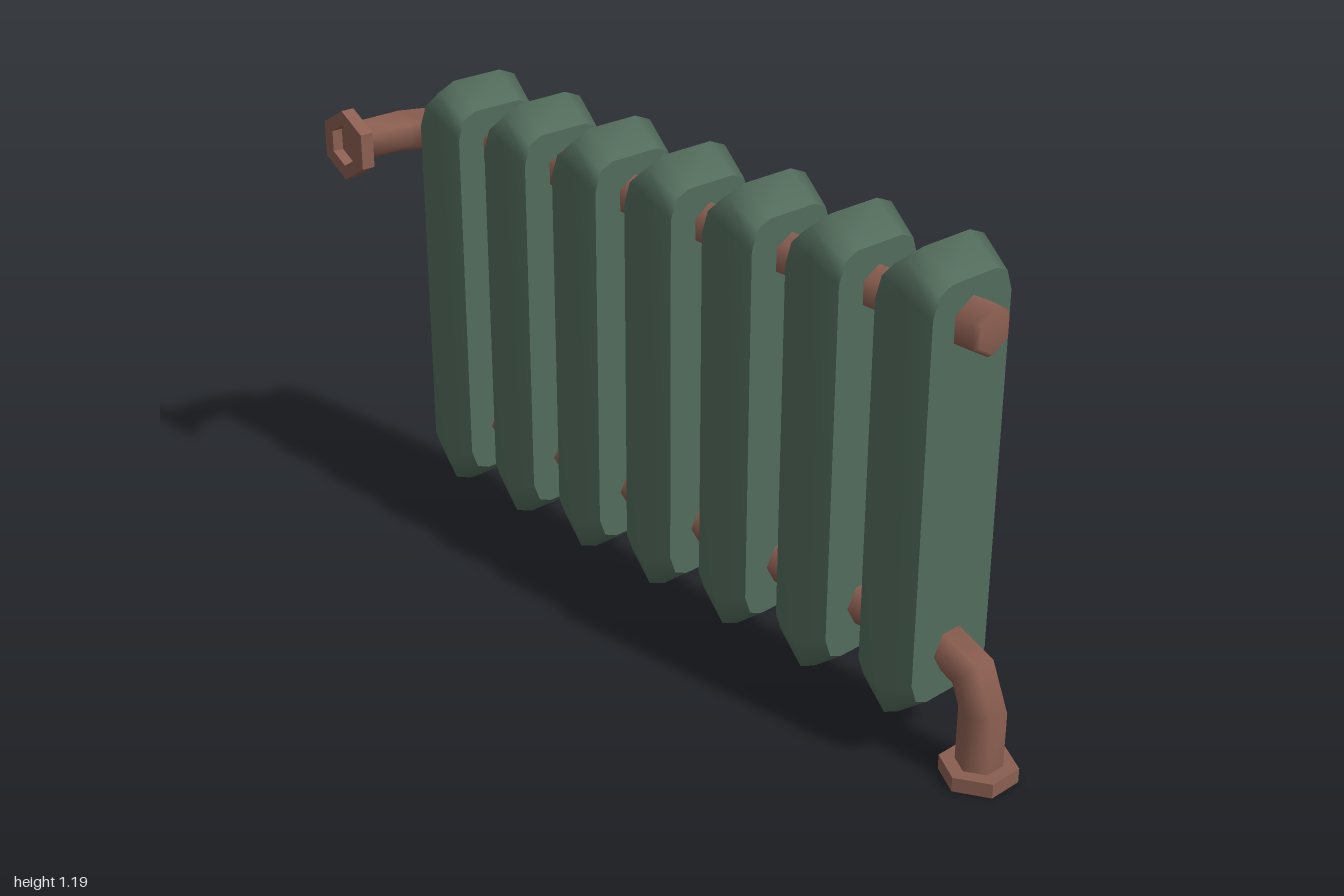
import * as THREE from 'three';

const green = new THREE.MeshStandardMaterial({ color: 0x526b5b });
green.name = 'green enamel';
const copper = new THREE.MeshStandardMaterial({ color: 0x8a5e50 });
copper.name = 'copper brown';

// Skin a stack of equal rings with smooth sides and flat, sharp-edged caps
function skin(rings) {
  const n = rings[0].length;
  const last = rings.length - 1;
  const pos = rings.flat(2);
  const index = [];
  for (let i = 0; i < last; i++) {
    for (let j = 0; j < n; j++) {
      const a = i * n + j, b = i * n + (j + 1) % n;
      index.push(a, b, b + n, a, b + n, a + n);
    }
  }
  for (const end of [0, last]) {
    const start = pos.length / 3;
    pos.push(...rings[end].flat());
    for (let j = 1; j < n - 1; j++) {
      if (end) index.push(start, start + j, start + j + 1);
      else index.push(start, start + j + 1, start + j);
    }
  }
  const g = new THREE.BufferGeometry();
  g.setAttribute('position', new THREE.Float32BufferAttribute(pos, 3));
  g.setIndex(index);
  g.computeVertexNormals();
  return g;
}

// Mirror one quadrant of an outline into a full counter-clockwise ring at depth z
function outline(quadrant, z) {
  const back = [...quadrant].reverse();
  return [
    ...quadrant.map(([x, y]) => [x, y, z]),
    ...back.map(([x, y]) => [-x, y, z]),
    ...quadrant.map(([x, y]) => [-x, -y, z]),
    ...back.map(([x, y]) => [x, -y, z]),
  ];
}

// Hexagonal pipe swept through [z, y, downward angle] stations
function pipeGeometry(stations, r) {
  return skin(stations.map(([z, y, angle]) => {
    const c = Math.cos(angle), s = Math.sin(angle);
    return Array.from({ length: 6 }, (_, k) => {
      const a = Math.PI / 6 + k * Math.PI / 3;
      const n = Math.cos(a) * r;
      return [Math.sin(a) * r, y - n * c, z - n * s];
    });
  }));
}

function hexPoints(r) {
  return Array.from({ length: 6 }, (_, k) =>
    new THREE.Vector2(r * Math.cos(k * Math.PI / 3), r * Math.sin(k * Math.PI / 3)));
}

function named(geometry, material, name) {
  const m = new THREE.Mesh(geometry, material);
  m.name = name;
  return m;
}

// Pipe with elbow, hollow hex flange at one end and a plug at the other
function pipeAssembly(name) {
  const group = new THREE.Group();
  group.name = name;

  const h = Math.PI / 2;
  const pipe = pipeGeometry([
    [-0.8, 0, 0], [0.81, 0, 0], [0.891, -0.034, h / 2], [0.925, -0.115, h], [0.925, -0.255, h],
  ], 0.0525);
  group.add(named(pipe, copper, 'pipe'));

  const ring = new THREE.Shape(hexPoints(0.0875));
  ring.holes.push(new THREE.Path(hexPoints(0.052)));
  const flangeGeo = new THREE.ExtrudeGeometry(ring, { depth: 0.035, bevelEnabled: false });
  flangeGeo.rotateX(-h);
  const flange = named(flangeGeo, copper, 'flange');
  flange.position.set(0, -0.283, 0.925);
  group.add(flange);

  const profile = [[0.06, 0.76], [0.06, 0.872], [0.05, 0.885], [0, 0.885]];
  const plugGeo = new THREE.LatheGeometry(profile.map(p => new THREE.Vector2(...p)), 6);
  plugGeo.rotateY(h).rotateX(-h);
  group.add(named(plugGeo, copper, 'endPlug'));
  return group;
}

export function createModel() {
  const model = new THREE.Group();
  model.name = 'radiator';

  // Seven ridged column sections
  const rim = [[0.12, 0.42], [0.103, 0.466], [0.068, 0.481]];
  const ridge = [[0.132, 0.46], [0.116, 0.522], [0.07, 0.541]];
  const sectionGeo = skin([outline(rim, -0.076), outline(ridge, 0), outline(rim, 0.076)]);
  for (let i = 0; i < 7; i++) {
    const section = named(sectionGeo, green, `section${i + 1}`);
    section.position.set(0.075, 0.651, 0.75 - i * 0.25);
    model.add(section);
  }

  // Lower pipe turns down at the front
  const lower = pipeAssembly('lowerPipe');
  lower.position.set(0.075, 0.283, 0);
  model.add(lower);

  // Upper pipe is the same assembly turned over, bending sideways at the back
  const upper = pipeAssembly('upperPipe');
  upper.quaternion.setFromAxisAngle(new THREE.Vector3(1, 1, 0).normalize(), Math.PI);
  upper.position.set(0.075, 1.033, 0);
  model.add(upper);

  return model;
}
